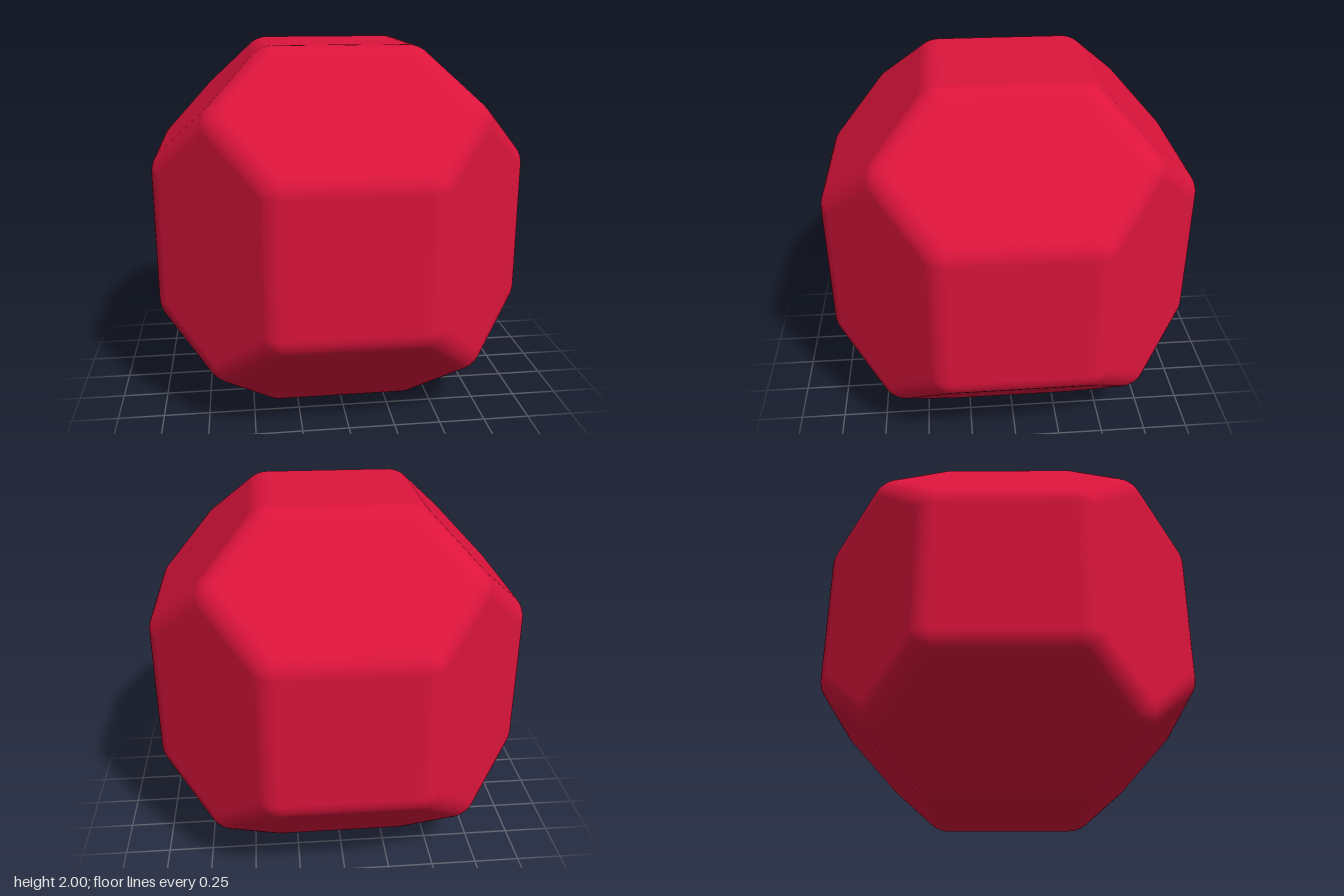
import * as THREE from 'three';

const RADIUS = 0.15; // edge rounding
const STEPS = 5;     // segments across each rounded edge

// 18 faces, all at distance 1 from the centre: 6 squares and 12 hexagons
function faceNormals() {
  const normals = [];
  for (const x of [-1, 0, 1]) for (const y of [-1, 0, 1]) for (const z of [-1, 0, 1]) {
    const count = Math.abs(x) + Math.abs(y) + Math.abs(z);
    if (count === 1 || count === 2) normals.push(new THREE.Vector3(x, y, z).normalize());
  }
  return normals;
}

// 24 square corners and 8 points where three hexagons meet
function cornerPoints() {
  const a = Math.SQRT2 - 1, b = Math.SQRT1_2, points = [];
  for (const x of [-1, 1]) for (const y of [-1, 1]) for (const z of [-1, 1]) {
    for (const p of [[1, a, a], [a, 1, a], [a, a, 1], [b, b, b]]) {
      points.push(new THREE.Vector3(x * p[0], y * p[1], z * p[2]));
    }
  }
  return points;
}

function roundedPolyhedron() {
  const normals = faceNormals(), corners = cornerPoints();
  const positions = [], normalData = [];
  const touches = (n, p) => Math.abs(n.dot(p) - 1) < 1e-6;

  // A surface point is an inset corner pushed out along its normal
  const at = (corner, normal) => ({
    p: corner.clone().multiplyScalar(1 - RADIUS).addScaledVector(normal, RADIUS), n: normal,
  });
  const triangle = (a, b, c) => {
    const cross = b.p.clone().sub(a.p).cross(c.p.clone().sub(a.p));
    const order = cross.dot(a.p) > 0 ? [a, b, c] : [a, c, b];
    for (const v of order) {
      positions.push(v.p.x, v.p.y + 1, v.p.z);
      normalData.push(v.n.x, v.n.y, v.n.z);
    }
  };

  // Flat faces, fanned from their centres
  for (const n of normals) {
    const u = new THREE.Vector3(n.y, n.z, n.x).cross(n).normalize();
    const w = n.clone().cross(u);
    const angle = (p) => Math.atan2(p.dot(w), p.dot(u));
    const ring = corners.filter((p) => touches(n, p)).sort((p, q) => angle(p) - angle(q));
    const centre = { p: n.clone(), n };
    ring.forEach((p, i) => triangle(centre, at(p, n), at(ring[(i + 1) % ring.length], n)));
  }

  // Rounded edges, one strip for each pair of neighbouring faces
  normals.forEach((n, i) => normals.slice(i + 1).forEach((m) => {
    const ends = corners.filter((p) => touches(n, p) && touches(m, p));
    if (ends.length !== 2) return;
    const blend = (k) => n.clone().lerp(m, k / STEPS).normalize();
    for (let k = 0; k < STEPS; k++) {
      const a = at(ends[0], blend(k)), b = at(ends[1], blend(k));
      const c = at(ends[1], blend(k + 1)), d = at(ends[0], blend(k + 1));
      triangle(a, b, c);
      triangle(a, c, d);
    }
  }));

  // Rounded corners, a spherical triangle between three faces
  for (const corner of corners) {
    const [a, b, c] = normals.filter((n) => touches(n, corner));
    const node = (i, j) => at(corner, new THREE.Vector3()
      .addScaledVector(a, STEPS - i - j).addScaledVector(b, i).addScaledVector(c, j).normalize());
    for (let i = 0; i < STEPS; i++) for (let j = 0; j < STEPS - i; j++) {
      triangle(node(i, j), node(i + 1, j), node(i, j + 1));
      if (i + j < STEPS - 1) triangle(node(i + 1, j), node(i + 1, j + 1), node(i, j + 1));
    }
  }

  const geometry = new THREE.BufferGeometry();
  geometry.setAttribute('position', new THREE.Float32BufferAttribute(positions, 3));
  geometry.setAttribute('normal', new THREE.Float32BufferAttribute(normalData, 3));
  return geometry;
}

export function createModel() {
  const group = new THREE.Group();
  group.name = 'chamferedCube';
  const body = new THREE.Mesh(roundedPolyhedron(), new THREE.MeshStandardMaterial({ color: 0xdc143c }));
  body.name = 'body';
  group.add(body);
  return group;
}
